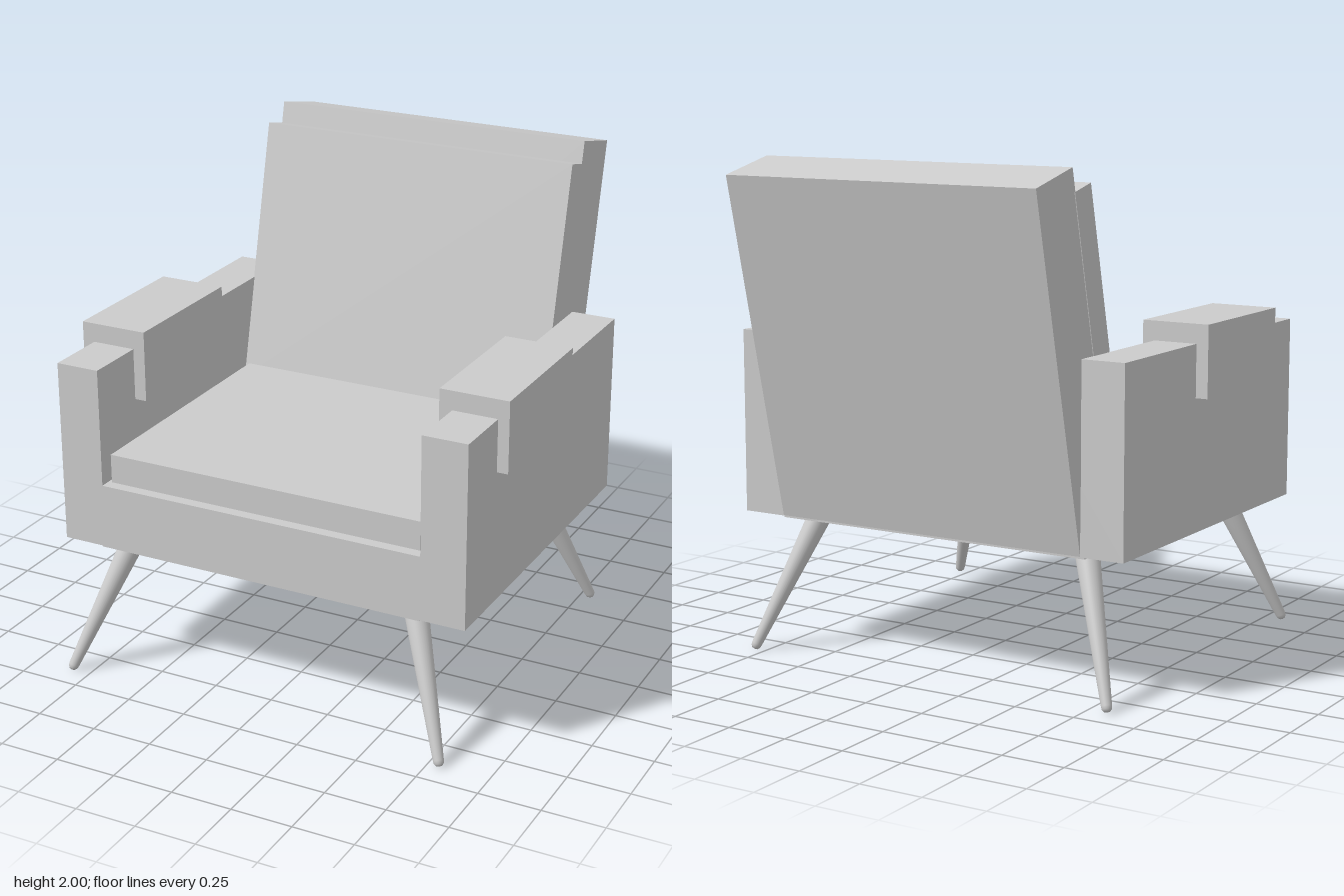
import * as THREE from 'three';

const material = new THREE.MeshStandardMaterial({ color: 0xcccccc });

function addMesh(parent, name, geometry) {
  const mesh = new THREE.Mesh(geometry, material);
  mesh.name = name;
  parent.add(mesh);
  return mesh;
}

// Box given by its limits on each axis
function addBox(parent, name, [x0, x1], [y0, y1], [z0, z1]) {
  const mesh = addMesh(parent, name, new THREE.BoxGeometry(x1 - x0, y1 - y0, z1 - z0));
  mesh.position.set((x0 + x1) / 2, (y0 + y1) / 2, (z0 + z1) / 2);
  return mesh;
}

export function createModel() {
  const chair = new THREE.Group();
  chair.name = 'armchair';

  // U-shaped frame: base and both arms in one piece
  const u = new THREE.Shape([
    [-0.865, 0.56], [0.865, 0.56], [0.865, 1.3], [0.682, 1.3],
    [0.682, 0.82], [-0.685, 0.82], [-0.685, 1.3], [-0.865, 1.3],
  ].map(([x, y]) => new THREE.Vector2(x, y)));
  const frame = addMesh(chair, 'frame',
    new THREE.ExtrudeGeometry(u, { depth: 1.43, bevelEnabled: false }));
  frame.position.z = -0.59;

  addBox(chair, 'bottomPanel', [-0.7, 0.68], [0.553, 0.57], [-0.585, 0.835]);
  addBox(chair, 'seatCushion', [-0.67, 0.66], [0.815, 0.937], [-0.32, 0.795]);

  // Reclined back: the group's origin is the lower rear edge
  const back = new THREE.Group();
  back.name = 'back';
  back.position.set(0, 0.562, -0.59);
  back.rotation.x = -Math.atan(0.236);
  chair.add(back);
  addBox(back, 'backRest', [-0.684, 0.679], [0, 1.415], [0, 0.262]);
  addBox(back, 'backCushion', [-0.687, 0.681], [0.24, 1.325], [0.255, 0.373]);

  // Pads over the arms
  addBox(chair, 'leftArmPad', [0.63, 0.91], [1.09, 1.377], [-0.02, 0.582]);
  addBox(chair, 'rightArmPad', [-0.915, -0.635], [1.09, 1.377], [-0.02, 0.582]);

  // Splayed, tapered legs with rounded tips
  const foot = new THREE.Vector3(), top = new THREE.Vector3();
  const up = new THREE.Vector3(0, 1, 0);
  for (const sx of [1, -1]) {
    for (const sz of [1, -1]) {
      foot.set(-0.016 + sx * 0.816, 0.004, 0.13 + sz * 0.772);
      top.set(-0.016 + sx * 0.606, 0.58, 0.13 + sz * 0.566);
      const dir = top.clone().sub(foot);
      const length = dir.length();
      const profile = [[0, 0], [0.012, 0.003], [0.019, 0.012], [0.021, 0.025], [0.05, length], [0, length]]
        .map(([r, y]) => new THREE.Vector2(r, y));
      const name = (sz > 0 ? 'front' : 'rear') + (sx > 0 ? 'Left' : 'Right') + 'Leg';
      const leg = addMesh(chair, name, new THREE.LatheGeometry(profile, 32));
      leg.position.copy(foot);
      leg.quaternion.setFromUnitVectors(up, dir.normalize());
    }
  }
  return chair;
}
